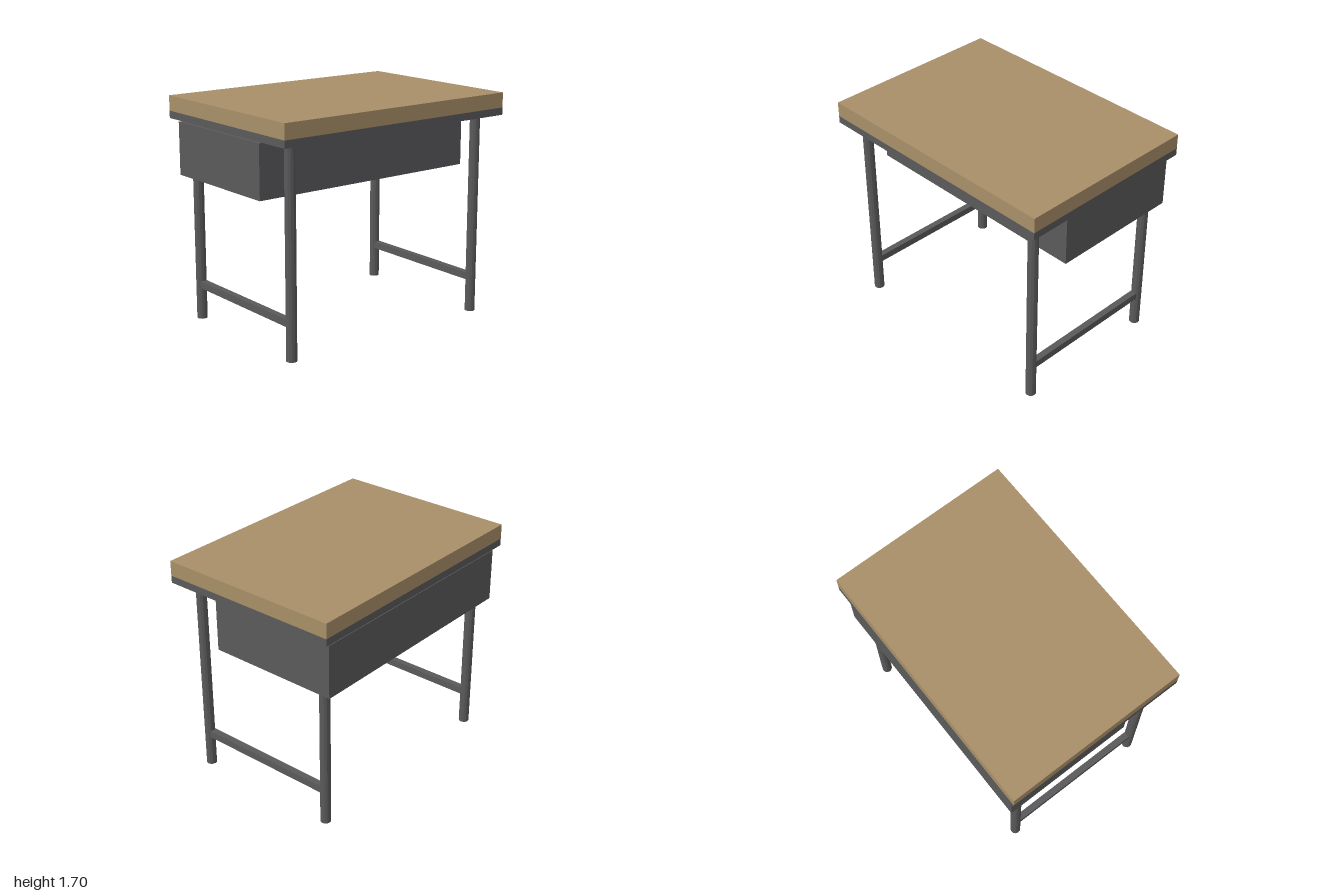
import * as THREE from 'three';

export function createModel() {
  const wood = new THREE.MeshStandardMaterial({ color: 0xa88f68 });
  wood.name = 'wood';
  const metal = new THREE.MeshStandardMaterial({ color: 0x5a5a5c, flatShading: true });
  metal.name = 'darkMetal';

  const desk = new THREE.Group();
  desk.name = 'desk';

  const add = (name, geometry, material, x, y, z) => {
    const mesh = new THREE.Mesh(geometry, material);
    mesh.name = name;
    mesh.position.set(x, y, z);
    desk.add(mesh);
  };
  // Box given by its centre x, z and its bottom and top heights
  const addBox = (name, material, w, d, bottom, top, x = 0, z = 0) =>
    add(name, new THREE.BoxGeometry(w, top - bottom, d), material, x, (bottom + top) / 2, z);

  // Worktop on its metal frame
  addBox('worktop', wood, 2, 1.425, 1.59, 1.703);
  addBox('topFrame', metal, 2, 1.425, 1.535, 1.59);

  // Storage box hung below, towards the back
  addBox('storageBox', metal, 1.885, 1.025, 1.105, 1.505, 0, -0.172);

  // Round legs, joined front to back by a stretcher on each side
  const legX = 0.857, legZ = 0.572, legHeight = 1.535;
  const legGeometry = new THREE.CylinderGeometry(0.039, 0.039, legHeight, 12);
  for (const [side, sx] of [['left', 1], ['right', -1]]) {
    for (const [end, sz] of [['Front', 1], ['Back', -1]]) {
      add(`${side}${end}Leg`, legGeometry, metal, sx * legX, legHeight / 2, sz * legZ);
    }
    addBox(`${side}Stretcher`, metal, 0.05, legZ * 2 - 0.05, 0.245, 0.3, sx * legX);
  }

  return desk;
}
